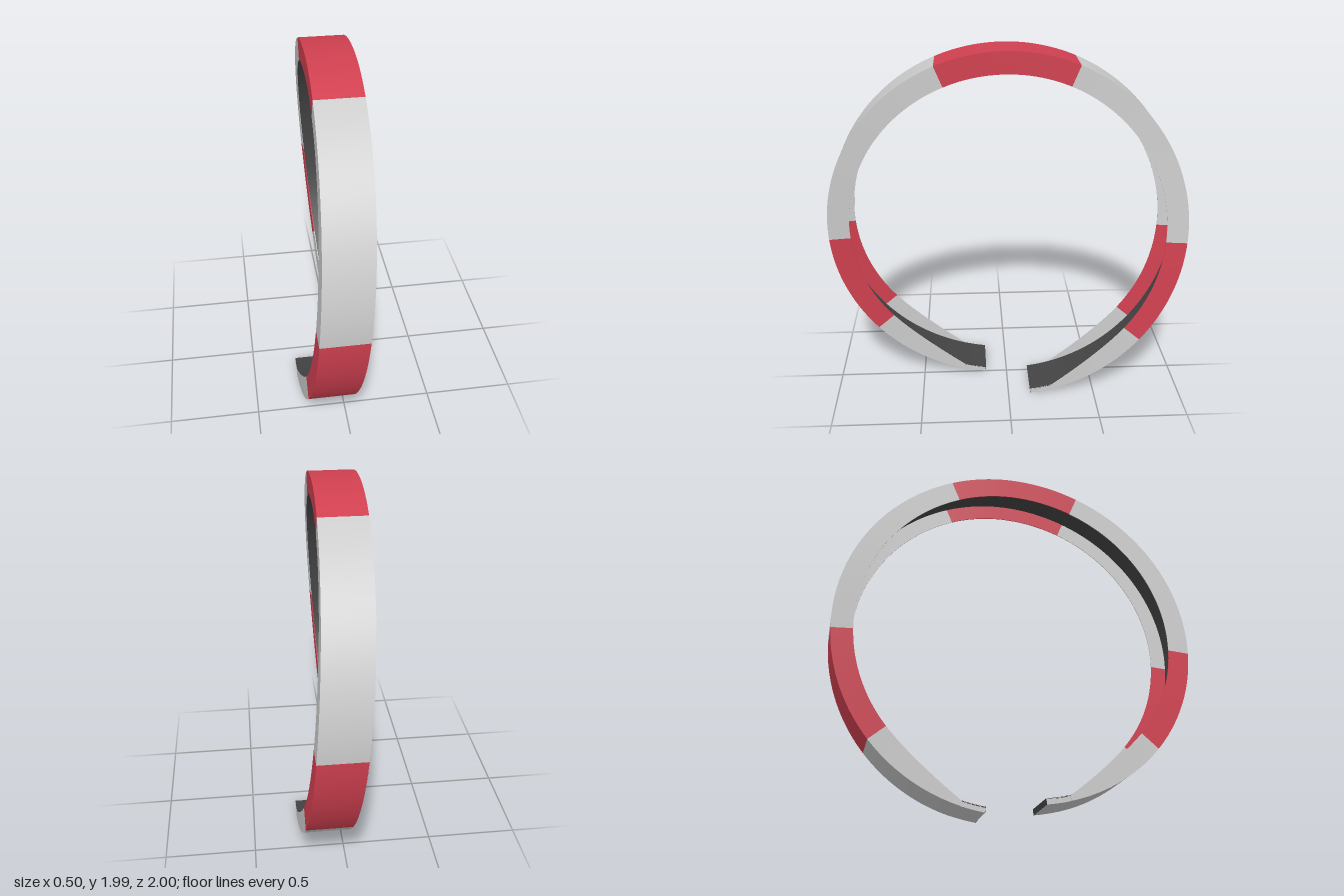
import * as THREE from 'three';
import { toCreasedNormals } from 'three/addons/utils/BufferGeometryUtils.js';

const rad = THREE.MathUtils.degToRad;
const HALF = 0.1215;      // half width of the track
const LIP = 0.004;        // thickness of the side walls
const TIP = 172.5;        // angle of the open ends, measured from the top
const LIP_END = 165;      // angle where the side walls run out
const CENTRE_Y = -Math.cos(rad(TIP));

const grey = new THREE.MeshStandardMaterial({ color: 0xcccccc });
const red = new THREE.MeshStandardMaterial({ color: 0xd04050 });
const dark = new THREE.MeshStandardMaterial({ color: 0x444444 });

// Sideways drift of the loop, so the two ends pass each other
function drift(t) {
  const c = Math.cos(t);
  return -0.006 * (1 + c) - Math.sign(t) * 0.061 * (1 - c) - 0.0085 * Math.sin(t);
}

// Inner radius of the side walls, tapering down towards the ends
function lipRadius(t) {
  const k = Math.max(0, (Math.abs(t) - rad(131)) / rad(LIP_END - 131));
  return 0.88 + 0.092 * Math.pow(k, 2.5);
}

// Bends a box along the loop: x across, y radial, z along the angle
function arc(name, material, from, to, x0, x1, inner, outer) {
  const steps = Math.max(1, Math.ceil((to - from) / 1.5));
  const geo = new THREE.BoxGeometry(1, 1, 1, 1, 1, steps);
  const p = geo.attributes.position;
  for (let i = 0; i < p.count; i++) {
    const t = rad(from + (to - from) * (p.getZ(i) + 0.5));
    const r = p.getY(i) > 0 ? outer : inner(t);
    const x = p.getX(i) > 0 ? x1 : x0;
    p.setXYZ(i, drift(t) + x, CENTRE_Y + r * Math.cos(t), r * Math.sin(t));
  }
  const mesh = new THREE.Mesh(toCreasedNormals(geo, rad(35)), material);
  mesh.name = name;
  return mesh;
}

export function createModel() {
  const group = new THREE.Group();
  group.name = 'loopTrack';

  // Alternating grey and red sections, each a band with two side walls
  const breaks = [-TIP, -130.8, -93.6, -22.4, 22.4, 93.6, 130.8, TIP];
  for (let i = 0; i < breaks.length - 1; i++) {
    const a = breaks[i], b = breaks[i + 1];
    const material = i % 2 ? red : grey;
    const section = new THREE.Group();
    section.name = `section${i + 1}`;
    section.add(arc('outerBand', material, a, b, -HALF, HALF, () => 0.971, 1));
    const la = Math.max(a, -LIP_END), lb = Math.min(b, LIP_END);
    section.add(arc('leftWall', material, la, lb, HALF, HALF + LIP, lipRadius, 1));
    section.add(arc('rightWall', material, la, lb, -HALF - LIP, -HALF, lipRadius, 1));
    group.add(section);
  }

  // Dark running surface inside the loop
  group.add(arc('trackSurface', dark, -TIP, TIP, -HALF, HALF, () => 0.969, 0.975));

  // Dark faces closing the two open ends
  group.add(arc('frontEnd', dark, TIP, TIP + 0.1, -HALF, HALF, () => 0.969, 1));
  group.add(arc('backEnd', dark, -TIP - 0.1, -TIP, -HALF, HALF, () => 0.969, 1));

  return group;
}
